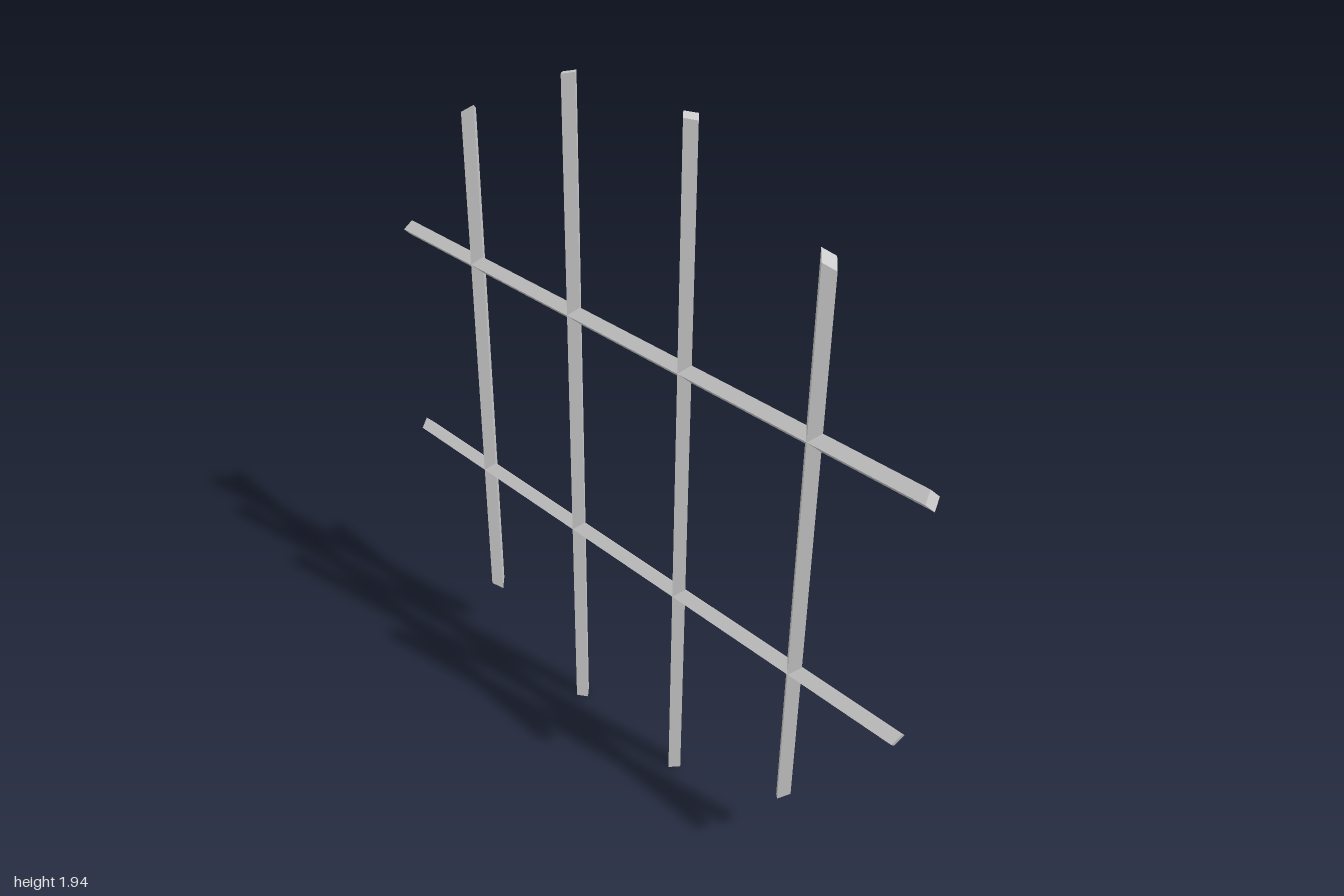
import * as THREE from 'three';

const CENTRE_Y = 0.989; // height of the middle of the lattice
const R = 0.024;        // half diagonal of the diamond section

const material = new THREE.MeshStandardMaterial({ color: 0xcccccc, flatShading: true });

// Diamond bar along y whose ends slope back on the side facing away from the middle.
// outward is the sign of local z that points away from the lattice centre.
function bar(name, offset, half, outward) {
  const geometry = new THREE.CylinderGeometry(R, R, 2, 4);
  const p = geometry.attributes.position;
  const slope = offset / half;
  for (let i = 0; i < p.count; i++) {
    p.setY(i, Math.sign(p.getY(i)) * (half - slope * outward * p.getZ(i)));
  }
  geometry.computeVertexNormals();
  const mesh = new THREE.Mesh(geometry, material);
  mesh.name = name;
  return mesh;
}

export function createModel() {
  const group = new THREE.Group();
  group.name = 'roundWindowLattice';

  for (const side of [1, -1]) {
    const end = side > 0 ? 'Front' : 'Back';

    // Upright bars: long inner pair, short outer pair
    for (const [name, offset, half] of [['innerUpright', 0.204, 0.9625], ['outerUpright', 0.614, 0.7675]]) {
      const upright = bar(name + end, offset, half, side);
      upright.position.set(0, CENTRE_Y, side * offset);
      group.add(upright);
    }

    // Crossbars running front to back
    const crossbar = bar(side > 0 ? 'upperCrossbar' : 'lowerCrossbar', 0.337, 0.938, -side);
    crossbar.rotation.x = Math.PI / 2;
    crossbar.position.y = CENTRE_Y + side * 0.337;
    group.add(crossbar);
  }
  return group;
}
